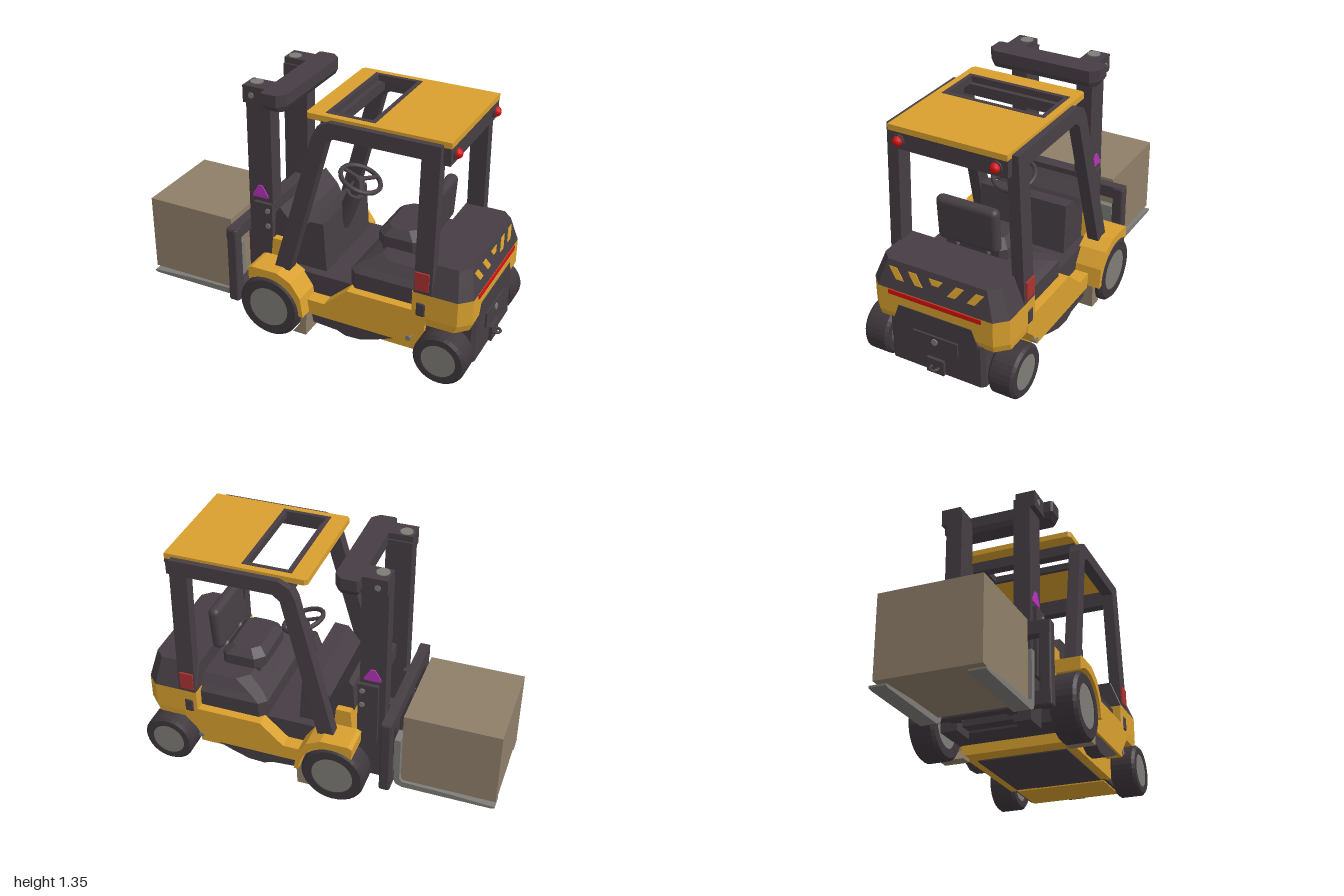
import * as THREE from 'three';
import { RoundedBoxGeometry } from 'three/addons/geometries/RoundedBoxGeometry.js';

const mat = (name, color) => Object.assign(new THREE.MeshStandardMaterial({ color }), { name });

export function createModel() {
  const dark = mat('charcoal', 0x463e44), yellow = mat('yellow', 0xd9a02f), tan = mat('cardboard', 0x8f7f69);
  const grey = mat('steel grey', 0x7d7c77), red = mat('lamp red', 0xd41212), magenta = mat('magenta', 0xb733bb);
  const glass = mat('tail lamp red', 0xac3230), rubber = mat('rubber', 0x3e373c);
  const model = new THREE.Group();
  model.name = 'forklift';

  const add = (name, geo, m) => {
    const mesh = new THREE.Mesh(geo, m);
    mesh.name = name;
    model.add(mesh);
    return mesh;
  };
  // box given by its limits, optionally rounded
  const box = (name, m, x0, x1, y0, y1, z0, z1, r = 0) => {
    const s = [x1 - x0, y1 - y0, Math.abs(z1 - z0)];
    const g = r ? new RoundedBoxGeometry(...s, 2, r) : new THREE.BoxGeometry(...s);
    return add(name, g.translate((x0 + x1) / 2, (y0 + y1) / 2, (z0 + z1) / 2), m);
  };
  const shapeOf = pts => new THREE.Shape(pts.map(p => new THREE.Vector2(...p)));
  // side profile (x, y) extruded between two z values
  const prism = (pts, za, zb) => new THREE.ExtrudeGeometry(shapeOf(pts),
    { depth: Math.abs(zb - za), bevelEnabled: false }).translate(0, 0, Math.min(za, zb));
  // cylinder between two points
  const rod = (name, m, a, b, r, sides = 16) => {
    const p = new THREE.Vector3(...a), q = new THREE.Vector3(...b), d = q.clone().sub(p);
    const mesh = add(name, new THREE.CylinderGeometry(r, r, d.length(), sides), m);
    mesh.position.copy(p).add(q).multiplyScalar(0.5);
    mesh.quaternion.setFromUnitVectors(new THREE.Vector3(0, 1, 0), d.normalize());
    return mesh;
  };
  // plan outline with chamfered corners: c at the rear, d at the front
  const plan = (x0, x1, h, c, d) => [[x1, h - c], [x1, c - h], [x1 - c, -h], [x0 + d, -h],
    [x0, d - h], [x0, h - d], [x0 + d, h], [x1 - c, h]];
  // stack of outlines joined into a faceted solid
  const loft = (...levels) => {
    const v = [], P = (l, i) => { const [x, z] = l[1][i % l[1].length]; return [x, l[0], z]; };
    const n = levels[0][1].length, lo = levels[0], hi = levels[levels.length - 1];
    for (let k = 0; k + 1 < levels.length; k++) for (let i = 0; i < n; i++) {
      const a = levels[k], b = levels[k + 1];
      v.push(...P(a, i), ...P(b, i + 1), ...P(b, i), ...P(a, i), ...P(a, i + 1), ...P(b, i + 1));
    }
    for (let i = 1; i + 1 < n; i++)
      v.push(...P(hi, 0), ...P(hi, i), ...P(hi, i + 1), ...P(lo, 0), ...P(lo, i + 1), ...P(lo, i));
    const g = new THREE.BufferGeometry();
    g.setAttribute('position', new THREE.Float32BufferAttribute(v, 3));
    g.computeVertexNormals();
    return g;
  };

  // Chassis and counterweight
  box('floor', dark, -0.16, 0.3, 0.12, 0.365, -0.31, 0.31);
  box('underbody', yellow, 0.0, 0.68, 0.065, 0.3, -0.3, 0.3);
  box('underPanel', dark, 0.1, 0.64, 0.058, 0.066, -0.25, 0.25);
  add('rearBase', loft([0.065, plan(0.66, 0.945, 0.275, 0.02, 0.01)], [0.31, plan(0.66, 0.945, 0.275, 0.02, 0.01)]), dark);
  box('rearBasePlate', yellow, 0.67, 0.93, 0.058, 0.066, -0.26, 0.26);
  add('counterweightBand', loft([0.3, plan(0.64, 0.93, 0.385, 0.06, 0.005)],
    [0.34, plan(0.64, 0.945, 0.388, 0.06, 0.005)], [0.48, plan(0.64, 0.945, 0.388, 0.06, 0.005)]), yellow);
  add('counterweightTop', loft([0.48, plan(0.645, 0.945, 0.388, 0.06, 0.005)],
    [0.63, plan(0.645, 0.91, 0.33, 0.05, 0.005)]), dark);
  add('rearRecess', loft([0.29, [[0.948, 0.25], [0.948, -0.25], [0.85, -0.25], [0.85, 0.25]]],
    [0.4, [[0.949, 0.21], [0.949, -0.21], [0.85, -0.21], [0.85, 0.21]]]), dark);
  box('rearReflector', red, 0.94, 0.951, 0.453, 0.477, -0.265, 0.265);

  // Warning stripes lying on the sloping rear face
  const stripe = pts => {
    const g = new THREE.ExtrudeGeometry(shapeOf(pts), { depth: 0.006, bevelEnabled: false });
    g.rotateY(Math.PI / 2).rotateZ(Math.atan(0.035 / 0.15)).translate(0.943, 0.48, 0);
    add('warningStripe', g, yellow);
  };
  for (const s of [1, -1]) for (const c of [0.11, 0.22])
    stripe([[s * (c - 0.04), 0.06], [s * (c + 0.005), 0.06], [s * (c + 0.05), 0.12], [s * (c + 0.005), 0.12]]);
  stripe([[-0.018, 0.09], [0.018, 0.09], [0.04, 0.12], [-0.04, 0.12]]);

  // Hitch
  box('hitchPlate', dark, 0.94, 0.955, 0.2, 0.285, -0.13, 0.13);
  box('hitchBlock', dark, 0.93, 0.962, 0.065, 0.15, -0.05, 0.05);
  add('hitchRing', new THREE.TorusGeometry(0.022, 0.008, 6, 14).rotateX(Math.PI / 2).translate(0.97, 0.105, 0), dark);
  rod('hitchPin', grey, [0.95, 0.255, 0], [0.962, 0.255, 0], 0.018, 12);

  // Hood and seat
  add('hood', loft([0.36, plan(0.265, 0.7, 0.34, 0.01, 0.04)], [0.46, plan(0.265, 0.7, 0.34, 0.01, 0.04)],
    [0.49, plan(0.31, 0.7, 0.31, 0.01, 0.05)], [0.54, plan(0.4, 0.7, 0.27, 0.01, 0.06)]), dark);
  box('seatBase', dark, 0.37, 0.58, 0.5, 0.58, -0.15, 0.15);
  add('seatCushion', loft([0.56, plan(0.34, 0.58, 0.18, 0.03, 0.05)], [0.62, plan(0.34, 0.58, 0.18, 0.03, 0.05)],
    [0.66, plan(0.38, 0.54, 0.14, 0.03, 0.04)]), dark);
  const back = add('seatBack', new RoundedBoxGeometry(0.065, 0.25, 0.35, 3, 0.03), dark);
  back.position.set(0.613, 0.755, 0);
  back.rotation.z = -0.06;
  for (const z of [-0.09, 0.09]) rod('seatBracket', grey, [0.56, 0.56, z], [0.61, 0.68, z], 0.012, 8);

  // Dashboard, cowl and steering
  add('dashboard', prism([[-0.15, 0.36], [-0.11, 0.5], [0.0, 0.64], [0.08, 0.645], [0.1, 0.36]], -0.26, 0.26), dark);
  add('frontCowl', prism([[-0.21, 0.5], [-0.2, 0.65], [-0.175, 0.68], [-0.1, 0.6], [-0.05, 0.5]], -0.26, 0.26), dark);
  add('cowlPanel', prism([[-0.22, 0.3], [-0.2, 0.51], [-0.12, 0.51], [-0.1, 0.3]], -0.3, 0.3), yellow);
  rod('steeringColumn', dark, [0.06, 0.52, 0], [0.135, 0.72, 0], 0.045, 12);
  rod('steeringShaft', dark, [0.12, 0.68, 0], [0.168, 0.815, 0], 0.025, 10);
  const steering = new THREE.Group();
  steering.name = 'steeringWheel';
  steering.position.set(0.167, 0.812, 0);
  steering.rotation.z = -0.37;
  steering.add(new THREE.Mesh(new THREE.TorusGeometry(0.112, 0.013, 8, 28).rotateX(Math.PI / 2), dark));
  for (let i = 0; i < 3; i++)
    steering.add(new THREE.Mesh(new THREE.BoxGeometry(0.11, 0.01, 0.022).translate(0.055, 0, 0)
      .rotateY(Math.PI / 3 + i * Math.PI * 2 / 3), dark));
  steering.children.forEach((c, i) => { c.name = i ? 'spoke' : 'rim'; });
  model.add(steering);

  // Roof with a window opening
  const roof = shapeOf([[0.02, -0.31], [0.035, -0.325], [0.785, -0.325], [0.785, 0.325], [0.035, 0.325], [0.02, 0.31]]);
  const hole = (x0, x1, h) => new THREE.Path([[x0, -h], [x0, h], [x1, h], [x1, -h]].map(p => new THREE.Vector2(...p)));
  roof.holes.push(hole(0.12, 0.37, 0.28));
  const flat = (s, y, t) => new THREE.ExtrudeGeometry(s, { depth: t, bevelEnabled: false }).rotateX(-Math.PI / 2).translate(0, y, 0);
  add('roof', flat(roof, 1.265, 0.031), yellow);
  const trim = shapeOf([[0.112, -0.288], [0.378, -0.288], [0.378, 0.288], [0.112, 0.288]]);
  trim.holes.push(hole(0.135, 0.355, 0.265));
  add('roofWindowTrim', flat(trim, 1.26, 0.038), dark);
  box('rearCrossbeam', dark, 0.72, 0.782, 1.175, 1.266, -0.325, 0.325);
  box('frontCrossbeam', dark, 0.1, 0.16, 1.205, 1.264, -0.32, 0.32);

  // Mast cross members, carriage bars and load
  add('mastTopBar', loft([1.25, plan(-0.23, -0.125, 0.3, 0.02, 0.01)], [1.28, plan(-0.24, -0.11, 0.32, 0.04, 0.01)],
    [1.343, plan(-0.24, -0.11, 0.32, 0.04, 0.01)]), dark);
  for (const y of [0.1, 0.58]) box('mastCrossbar', dark, -0.31, -0.24, y, y + 0.09, -0.2, 0.2);
  for (const y of [0.1, 0.47]) box('carriageBar', dark, -0.445, -0.39, y, y + 0.07, -0.37, 0.37);
  box('load', tan, -1.0, -0.48, 0.095, 0.535, -0.27, 0.27);

  // Mirrored parts
  const arch = [];
  for (let i = 0; i <= 14; i++) {
    const a = i / 14 * 2.2;
    arch.push([-0.15 + 0.186 * Math.cos(a), 0.18 + 0.186 * Math.sin(a)]);
  }
  for (const s of [1, -1]) {
    // wheels with hub discs on both faces
    for (const [n, x, r, z0, z1, h] of [['front', -0.15, 0.177, 0.31, 0.452, 0.115], ['rear', 0.815, 0.142, 0.295, 0.437, 0.093]]) {
      const w = [[h, z0], [r - 0.015, z0], [r, z0 + 0.015], [r, z1 - 0.015], [r - 0.015, z1], [h, z1], [h, z0]];
      const tyre = new THREE.LatheGeometry(w.map(p => new THREE.Vector2(...p)).reverse(), 32).toNonIndexed();
      tyre.computeVertexNormals();
      const t = add(n + 'Tyre', tyre.rotateX(Math.PI / 2), rubber);
      rubber.side = THREE.DoubleSide;
      t.position.set(x, r, s > 0 ? 0 : -(z0 + z1));
      rod(n + 'Hub', grey, [x, r, s * (z0 + 0.01)], [x, r, s * (z1 - 0.004)], h + 0.002, 32);
    }
    rod('rearAxle', dark, [0.815, 0.142, 0], [0.815, 0.142, s * 0.31], 0.04, 10);

    // front fender and mud flap
    add('fender', prism([...arch, [-0.262, 0.4], [-0.24, 0.41], [-0.09, 0.41], [-0.01, 0.37], [0.045, 0.29], [0.062, 0.18]],
      s * 0.3, s * 0.46), yellow);
    add('mudFlap', prism([[0.036, 0.18], [0.062, 0.18], [0.058, 0.045], [-0.02, 0.045], [0.02, 0.1]], s * 0.28, s * 0.42), tan);

    // side panel, step and small fittings
    add('sidePanel', prism([[0.04, 0.165], [0.62, 0.165], [0.66, 0.24], [0.72, 0.3], [0.72, 0.37], [0.28, 0.37], [0.15, 0.25], [0.04, 0.25]],
      s * 0.3, s * 0.388), yellow);
    add('sideStep', prism([[0.07, 0.166], [0.08, 0.11], [0.22, 0.1], [0.27, 0.08], [0.36, 0.085], [0.46, 0.12], [0.57, 0.166]],
      s * 0.28, s * 0.375), dark);
    box('sideLatch', dark, 0.665, 0.715, 0.345, 0.425, s * 0.37, s * 0.394, 0.01);
    rod('panelBolt', grey, [0.63, 0.195, s * 0.36], [0.63, 0.195, s * 0.394], 0.015, 12);
    box('tailLamp', glass, 0.655, 0.73, 0.5, 0.6, s * 0.37, s * 0.394);

    // overhead guard frame, leaning inward towards the top
    const guard = prism([[-0.14, 0.4], [0.07, 1.19], [0.1, 1.25], [0.16, 1.28], [0.745, 1.28], [0.745, 0.48], [0.65, 0.48],
      [0.65, 1.2], [0.19, 1.2], [0.15, 1.17], [-0.05, 0.4]], s * 0.325, s * 0.388);
    const p = guard.attributes.position;
    for (let i = 0; i < p.count; i++) p.setZ(i, p.getZ(i) - s * (p.getY(i) - 0.48) * 0.037);
    guard.computeVertexNormals();
    add('guardFrame', guard, dark);
    rod('roofLampRim', dark, [0.775, 1.222, s * 0.265], [0.792, 1.222, s * 0.265], 0.034, 8);
    add('roofLamp', new THREE.SphereGeometry(0.027, 8, 6).translate(0.792, 1.222, s * 0.265), red);

    // mast
    box('mastRail', dark, -0.37, -0.23, 0.06, 1.31, s * 0.15, s * 0.24);
    box('mastHead', dark, -0.37, -0.2, 1.25, 1.343, s * 0.16, s * 0.27);
    rod('liftCylinder', grey, [-0.325, 1.2, s * 0.2], [-0.325, 1.347, s * 0.2], 0.035, 12);
    box('mastBracket', dark, -0.335, -0.225, 0.3, 0.68, s * 0.15, s * 0.26);
    for (const y of [0.55, 0.64]) rod('mastBolt', grey, [-0.25, y, s * 0.25], [-0.25, y, s * 0.267], 0.015, 10);
    rod('mastHeadBolt', grey, [-0.32, 1.295, s * 0.26], [-0.32, 1.295, s * 0.275], 0.016, 10);
    add('warningSign', prism([[-0.345, 0.705], [-0.255, 0.705], [-0.255, 0.72], [-0.288, 0.775], [-0.312, 0.775], [-0.345, 0.72]],
      s * 0.239, s * 0.247), magenta);

    // carriage uprights and forks
    box('carriageUpright', dark, -0.445, -0.385, 0.09, 0.54, s * 0.31, s * 0.375, 0.012);
    box('carriageRoller', dark, -0.42, -0.36, 0.1, 0.52, s * 0.12, s * 0.18);
    add('fork', prism([[-1.0, 0.065], [-0.98, 0.06], [-0.49, 0.06], [-0.455, 0.075], [-0.44, 0.11], [-0.44, 0.38],
      [-0.475, 0.38], [-0.475, 0.12], [-0.49, 0.095], [-0.75, 0.09], [-1.0, 0.075]], s * 0.2, s * 0.288), grey);
  }
  return model;
}
